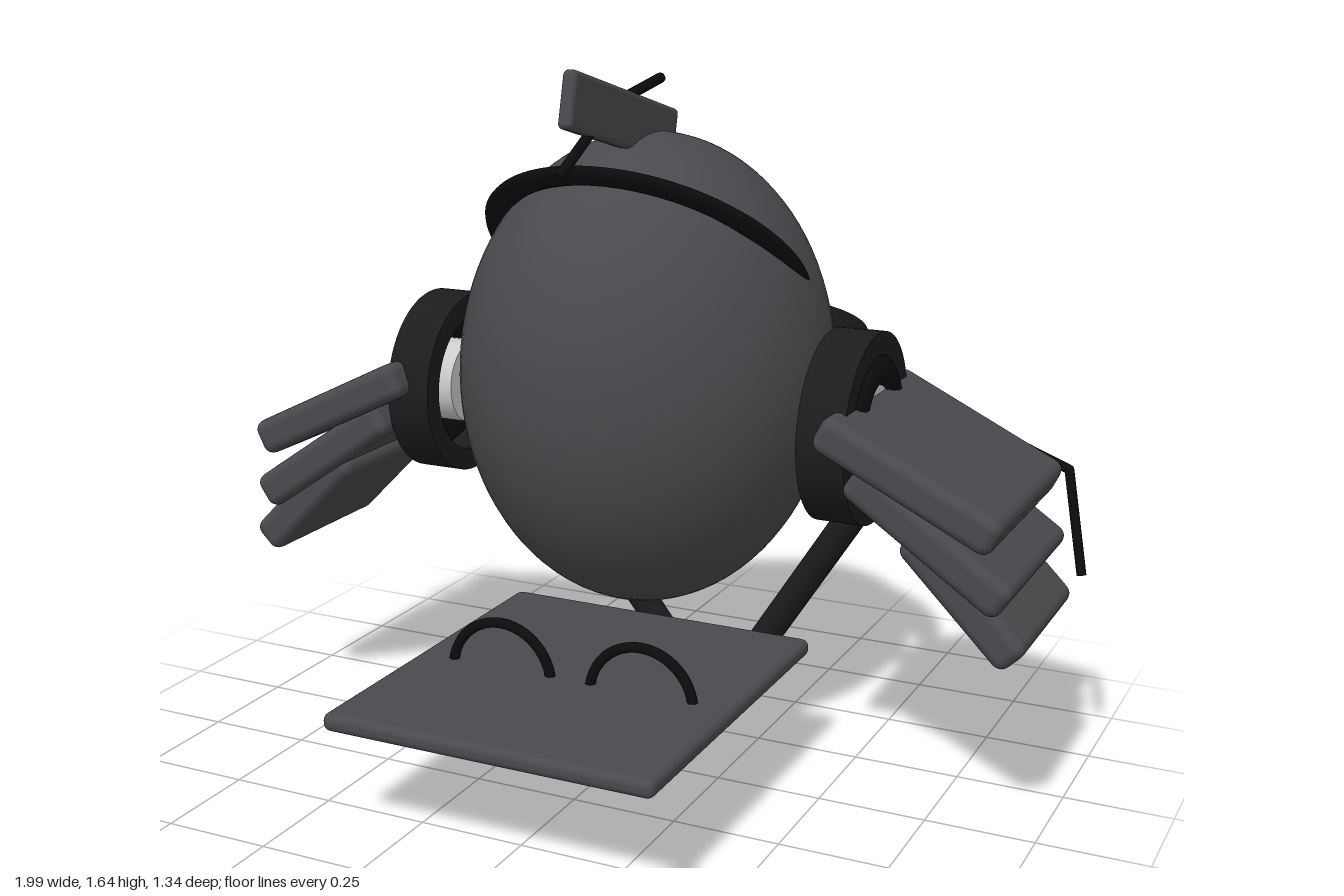
import * as THREE from 'three';
import { RoundedBoxGeometry } from 'three/addons/geometries/RoundedBoxGeometry.js';
import { toCreasedNormals } from 'three/addons/utils/BufferGeometryUtils.js';

const mat = (color, side = THREE.FrontSide) => new THREE.MeshStandardMaterial({ color, side });
const grey = mat(0x4a4a4e);
const dark = mat(0x1c1c1e);
const black = mat(0x0c0c0d);
const light = mat(0xcccccc);
const V = (x, y, z) => new THREE.Vector3(x, y, z);

export function createModel() {
  const model = new THREE.Group();

  function add(name, geometry, material, x = 0, y = 0, z = 0) {
    const mesh = new THREE.Mesh(geometry, material);
    mesh.name = name;
    mesh.position.set(x, y, z);
    model.add(mesh);
    return mesh;
  }

  // Straight round bar between two points
  function bar(name, a, b, radius, material, sides = 12) {
    const mid = a.clone().add(b).multiplyScalar(0.5);
    const mesh = add(name, new THREE.CylinderGeometry(radius, radius, a.distanceTo(b), sides), material, mid.x, mid.y, mid.z);
    mesh.quaternion.setFromUnitVectors(V(0, 1, 0), b.clone().sub(a).normalize());
    return mesh;
  }

  // Bent thin rod through several points
  function rod(name, points, radius) {
    for (let i = 0; i < points.length - 1; i++) bar(name, points[i], points[i + 1], radius, black, 10);
    points.slice(1, -1).forEach((p) => add(name + 'Joint', new THREE.SphereGeometry(radius, 10, 8), black, p.x, p.y, p.z));
  }

  // Egg body
  add('body', new THREE.SphereGeometry(1, 64, 48), grey, 0, 0.93, -0.14).scale.set(0.43, 0.55, 0.463);

  // Thin band standing off around the back
  const half = Math.acos(0.16 / 0.505);
  add('backBand', new THREE.CylinderGeometry(0.505, 0.505, 0.245, 48, 1, true, Math.PI - half, half * 2),
    mat(0x1c1c1e, THREE.DoubleSide), 0, 0.908, -0.14);

  // Brow arc, its ends sinking into the head
  const browArc = Math.PI * 1.08;
  const browGeo = new THREE.TorusGeometry(0.352, 0.03, 12, 48, browArc);
  browGeo.rotateZ((Math.PI - browArc) / 2);
  browGeo.scale(1.02, 1, 0.58);
  const brow = add('brow', browGeo, black, 0, 1.19, -0.13);
  brow.rotation.x = Math.atan2(0.27, 0.22);

  // Crest fin and the rod through it
  const fin = add('crestFin', new RoundedBoxGeometry(0.034, 0.125, 0.535, 3, 0.012), grey, 0, 1.522, 0.005);
  fin.rotation.x = -0.245;
  rod('crestRod', [V(0, 1.425, 0.305), V(0, 1.555, 0.06), V(0, 1.595, -0.2)], 0.012);

  // Front tray with two rings
  add('tray', new RoundedBoxGeometry(0.785, 0.042, 0.88, 3, 0.018), grey, 0, 0.28, 0.23);

  // Wheel rim with a round opening
  const rimShape = new THREE.Shape().absarc(0, 0, 0.217, 0, Math.PI * 2);
  rimShape.holes.push(new THREE.Path().absarc(0, 0, 0.165, 0, Math.PI * 2, true));
  const rimGeo = toCreasedNormals(
    new THREE.ExtrudeGeometry(rimShape, { depth: 0.108, bevelEnabled: false, curveSegments: 32 }), 0.6);
  rimGeo.translate(0, 0, -0.054);
  rimGeo.rotateY(Math.PI / 2);

  // Feather slabs: centre x, y, length, thickness, width, downward tilt
  const feathers = [
    [0.717, 0.81, 0.44, 0.085, 0.535, 0.455],
    [0.758, 0.685, 0.42, 0.085, 0.48, 0.6],
    [0.832, 0.56, 0.34, 0.085, 0.43, 0.79],
  ];

  for (const s of [1, -1]) {
    const side = s > 0 ? 'left' : 'right';

    add(side + 'TrayRing', new THREE.TorusGeometry(0.126, 0.012, 10, 48), black, s * 0.175, 0.28, 0.265);

    // Shoulder wheel
    add(side + 'WheelRim', rimGeo, dark, s * 0.513, 0.855, -0.12);
    const innerRing = add(side + 'WheelInnerRing', new THREE.TorusGeometry(0.13, 0.036, 14, 40), black, s * 0.549, 0.855, -0.12);
    innerRing.rotation.y = Math.PI / 2;
    const hub = add(side + 'WheelHub', new THREE.CylinderGeometry(0.1, 0.1, 0.1, 32), light, s * 0.515, 0.855, -0.12);
    hub.rotation.z = Math.PI / 2;

    // Fanned wing feathers
    feathers.forEach(([x, y, length, thick, width, tilt], i) => {
      const slab = add(side + 'Feather' + (i + 1), new RoundedBoxGeometry(length, thick, width, 3, 0.025), grey, s * x, y, -0.12);
      slab.rotation.z = -s * tilt;
    });

    // Bent rod along the back edge of the wing
    rod(side + 'WingRod', [V(s * 0.56, 0.88, -0.4), V(s * 0.935, 0.735, -0.4), V(s * 0.985, 0.5, -0.365)], 0.011);

    // Rear strut down to the foot
    bar(side + 'Strut', V(s * 0.1, 0.075, -0.535), V(s * 0.605, 0.85, -0.42), 0.038, dark, 10);
  }

  // Foot block
  add('foot', new RoundedBoxGeometry(0.24, 0.056, 0.24, 4, 0.024), light, 0, 0.03, -0.55);

  return model;
}
